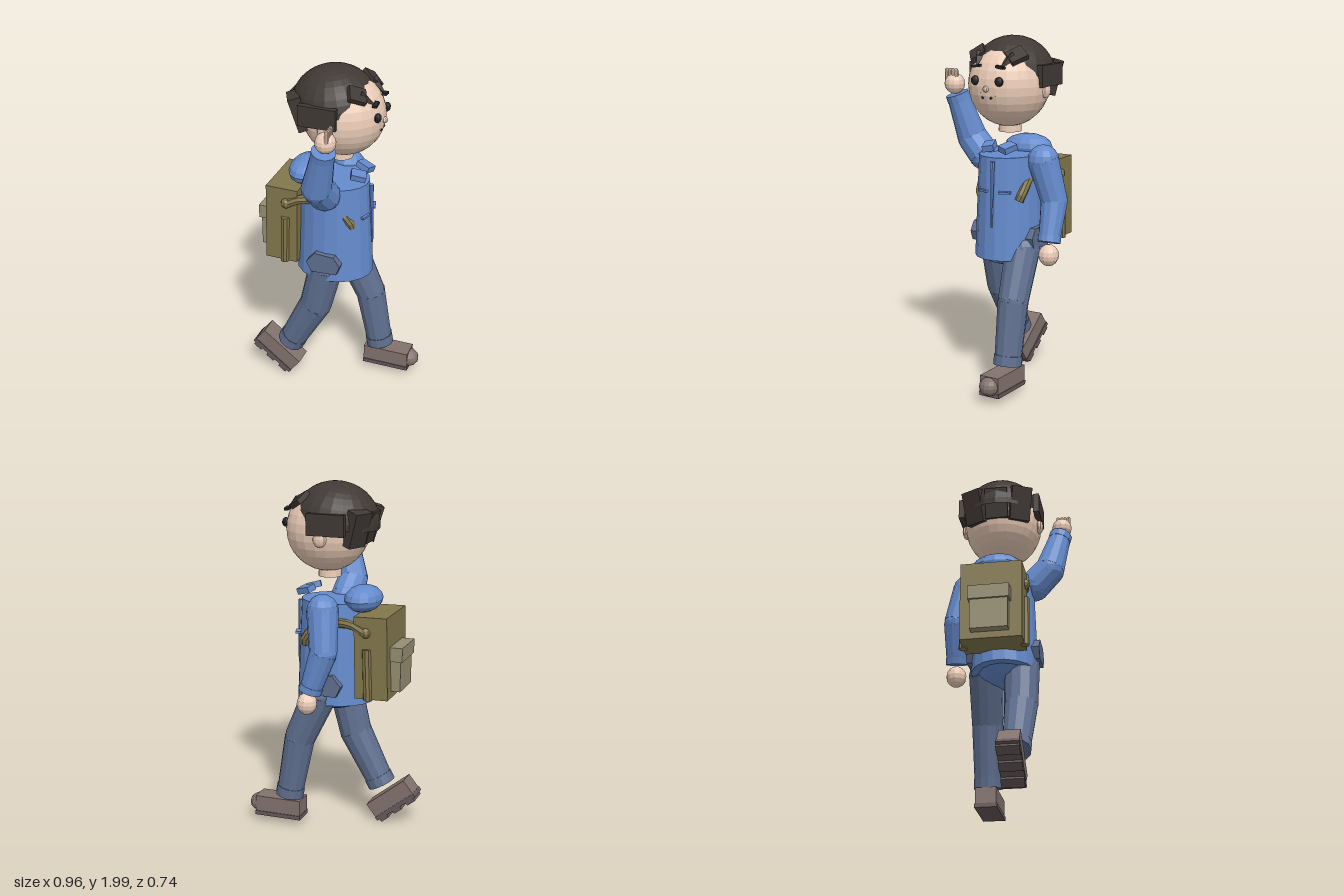
import * as THREE from 'three';

const mat = (color) => new THREE.MeshStandardMaterial({ color, flatShading: true });
const SKIN = mat(0xeccdb8), HAIR = mat(0x403935), BLUE = mat(0x658bcd), DENIM = mat(0x5f6f8f);
const SHOE = mat(0x82726e), SOLE = mat(0x66595a), PACK = mat(0x82774c), POCKET = mat(0x968e72), DARK = mat(0x262424);
const MID = -0.035; // z of the body's middle plane

export function createModel() {
  const root = new THREE.Group();
  root.name = 'walkingHiker';

  const group = (name, parent = root) => {
    const g = new THREE.Group();
    g.name = name;
    parent.add(g);
    return g;
  };
  const add = (name, geo, m, pos = [0, 0, 0], rot = [0, 0, 0], parent = root) => {
    const mesh = new THREE.Mesh(geo, m);
    mesh.name = name;
    mesh.position.set(...pos);
    mesh.rotation.set(...rot);
    parent.add(mesh);
    return mesh;
  };
  const box = (name, size, m, pos, rot, parent) => add(name, new THREE.BoxGeometry(...size), m, pos, rot, parent);
  const ball = (name, r, m, pos, parent, w = 12, h = 8) => {
    const mesh = add(name, new THREE.SphereGeometry(1, w, h), m, pos, [0, 0, 0], parent);
    mesh.scale.set(...(Array.isArray(r) ? r : [r, r, r]));
    return mesh;
  };
  // Tapered cylinder between two points
  const rod = (name, a, b, ra, rb, m, parent, sides = 12) => {
    const p = new THREE.Vector3(...a), q = new THREE.Vector3(...b), d = q.clone().sub(p);
    const mesh = add(name, new THREE.CylinderGeometry(rb, ra, d.length(), sides), m, [0, 0, 0], [0, 0, 0], parent);
    mesh.position.copy(p).add(q).multiplyScalar(0.5);
    mesh.quaternion.setFromUnitVectors(new THREE.Vector3(0, 1, 0), d.normalize());
  };
  // Sleeve or trouser leg: two rods, rounded joints and a cuff
  const limb = (name, pts, radii, m) => {
    const g = group(name);
    for (let i = 0; i < 2; i++) {
      ball('joint', radii[i], m, pts[i], g);
      rod(i ? 'lower' : 'upper', pts[i], pts[i + 1], radii[i], radii[i + 1], m, g);
    }
    const end = new THREE.Vector3(...pts[2]);
    const start = end.clone().lerp(new THREE.Vector3(...pts[1]), 0.16);
    rod('cuff', start.toArray(), pts[2], radii[2] + 0.006, radii[2] + 0.006, m, g);
    return g;
  };

  // Head and face
  const head = group('head');
  ball('skull', [0.235, 0.235, 0.225], SKIN, [0.04, 1.735, MID], head, 24, 16);
  add('neck', new THREE.CylinderGeometry(0.06, 0.065, 0.1, 14), SKIN, [0.03, 1.52, MID], [0, 0, 0], head);
  ball('nose', 0.018, SKIN, [0.275, 1.728, MID], head, 8, 6);
  for (const s of [-1, 1]) {
    ball('ear', [0.04, 0.045, 0.025], SKIN, [0.01, 1.71, MID + s * 0.218], head, 10, 8);
    ball('eye', [0.02, 0.026, 0.025], DARK, [0.262, 1.77, MID + s * 0.077], head, 10, 8);
    box('eyebrow', [0.025, 0.014, 0.05], DARK, [0.25, 1.847, MID + s * 0.077], [s * 0.15, 0, 0], head);
    for (const [y, dz] of [[1.692, 0.054], [1.68, 0.027], [1.705, 0.038]])
      ball('freckle', 0.009, DARK, [0.268 - dz * 0.25, y, MID + s * dz], head, 6, 4);
  }

  // Hair cap, side locks, back locks and fringe tufts
  const hair = group('hair', head);
  const capMat = mat(0x403935);
  capMat.side = THREE.DoubleSide;
  const cap = add('hairCap', new THREE.SphereGeometry(1, 22, 10, 0, Math.PI * 2, 0, Math.PI * 0.5), capMat,
    [-0.008, 1.775, MID], [0, 0, 0.14], hair);
  cap.scale.set(0.245, 0.225, 0.232);
  for (const s of [-1, 1]) {
    box('sideLock', [0.215, 0.12, 0.035], HAIR, [-0.027, 1.79, MID + s * 0.222], [0, 0, 0], hair);
    box('backLock', [0.07, 0.2, 0.12], HAIR, [-0.17, 1.765, MID + s * 0.13], [0, s * 0.45, 0.3], hair);
    box('fringeTuft', [0.1, 0.03, 0.09], HAIR, [0.16, 1.905, MID + s * 0.125], [s * 0.6, s * 0.35, -0.7], hair);
    add('fringeSpike', new THREE.ConeGeometry(0.035, 0.11, 4), HAIR, [0.21, 1.87, MID + s * 0.09], [s * 0.4, 0, -2.2], hair);
  }
  box('napeLock', [0.06, 0.18, 0.13], HAIR, [-0.195, 1.765, MID], [0, 0, 0.25], hair);

  // Jacket
  const jacket = group('jacket');
  const torso = add('torso', new THREE.CylinderGeometry(0.88, 1, 0.58, 18), BLUE, [0, 1.05, -0.018], [0, 0, 0], jacket);
  torso.scale.set(0.224, 1, 0.19);
  ball('hips', [0.2, 0.1, 0.165], BLUE, [0.01, 0.8, -0.018], jacket, 16, 8);
  ball('hood', [0.105, 0.075, 0.15], BLUE, [-0.17, 1.355, MID], jacket, 14, 8);
  add('zip', new THREE.CylinderGeometry(0.013, 0.005, 0.37, 6), BLUE, [0.213, 1.135, -0.033], [0, 0, 0.03], jacket);
  for (const s of [-1, 1]) {
    box('collarFlap', [0.085, 0.035, 0.065], BLUE, [0.15, 1.395, MID + s * 0.06], [s * 0.2, s * 0.3, -0.3], jacket);
    box('chestPocket', [0.03, 0.012, 0.065], BLUE, [0.195, 1.15, MID + s * 0.068], [0, -s * 0.3, 0], jacket);
    // Hip pouch with bevelled corners
    const outline = [[-0.1, 0], [-0.05, 0.062], [0.065, 0.055], [0.1, 0], [0.08, -0.055], [-0.07, -0.062]];
    const pouch = new THREE.ExtrudeGeometry(new THREE.Shape(outline.map((p) => new THREE.Vector2(...p))),
      { depth: 0.05, bevelEnabled: false });
    add('hipPouch', pouch, DENIM, [0, 0.88, -0.018 + s * 0.183 - 0.025], [0, 0, 0], jacket);
  }

  // Raised arm with open hand
  limb('raisedArm', [[0, 1.31, 0.155], [-0.01, 1.4, 0.245], [0.055, 1.66, 0.307]], [0.09, 0.087, 0.062], BLUE);
  const wave = group('raisedHand');
  ball('palm', 0.059, SKIN, [0.068, 1.717, 0.313], wave);
  for (let i = 0; i < 4; i++) {
    add('finger', new THREE.CapsuleGeometry(0.012, 0.055, 3, 7), SKIN, [0.088, 1.766, 0.289 + i * 0.021], [0, 0, 0], wave);
  }

  // Hanging arm
  limb('hangingArm', [[0, 1.315, -0.235], [-0.025, 1.09, -0.293], [0.05, 0.865, -0.305]], [0.09, 0.077, 0.06], BLUE);
  ball('hangingHand', [0.058, 0.062, 0.058], SKIN, [0.065, 0.797, -0.312]);

  // Legs in mid stride
  limb('trailingLeg', [[-0.02, 0.8, 0.082], [-0.085, 0.53, 0.085], [-0.25, 0.22, 0.083]], [0.1, 0.094, 0.076], DENIM);
  limb('leadingLeg', [[0.055, 0.8, -0.135], [0.175, 0.53, -0.148], [0.24, 0.175, -0.153]], [0.1, 0.088, 0.076], DENIM);

  // Shoes, toe along local x
  const shoe = (name, length, pos, tilt) => {
    const g = group(name);
    g.position.set(...pos);
    g.rotation.z = tilt;
    box('upper', [length, 0.095, 0.118], SHOE, [0, 0.01, 0], [0, 0, 0], g);
    box('sole', [length + 0.005, 0.024, 0.127], SOLE, [0, -0.046, 0], [0, 0, 0], g);
    return g;
  };
  const lead = shoe('leadingShoe', 0.275, [0.293, 0.103, -0.153], 0);
  ball('toeCap', [0.06, 0.054, 0.058], SHOE, [0.132, 0.002, 0], lead);
  const trail = shoe('trailingShoe', 0.285, [-0.325, 0.147, 0.073], -0.67);
  for (let i = 0; i < 3; i++) box('tread', [0.055, 0.02, 0.125], SOLE, [-0.1 + i * 0.1, -0.066, 0], [0, 0, 0], trail);

  // Backpack with pocket, side rolls and straps
  const pack = group('backpack');
  box('bag', [0.19, 0.465, 0.345], PACK, [-0.27, 1.057, -0.037], [0, 0, -0.02], pack);
  box('outerPocket', [0.08, 0.24, 0.21], POCKET, [-0.382, 0.985, -0.04], [0, 0, 0], pack);
  box('pocketFlap', [0.085, 0.08, 0.23], POCKET, [-0.392, 1.078, -0.04], [0, 0, 0], pack);
  for (const s of [-1, 1]) {
    add('sideRoll', new THREE.CylinderGeometry(0.025, 0.025, 0.29, 8), PACK, [-0.25, 0.965, -0.037 + s * 0.172], [0, 0, -0.03], pack);
    const z = MID + s * 0.155;
    const path = new THREE.CatmullRomCurve3([[-0.23, 1.2, z + s * 0.012], [-0.15, 1.235, z], [0, 1.22, z - s * 0.03],
      [0.12, 1.15, z - s * 0.012], [0.135, 1.1, z - s * 0.03]].map((p) => new THREE.Vector3(...p)));
    add('strap', new THREE.TubeGeometry(path, 12, 0.026, 8), PACK, [0, 0, 0], [0, 0, 0], pack);
    ball('strapAnchor', 0.03, PACK, [-0.24, 1.2, z + s * 0.014], pack, 8, 6);
  }
  return root;
}
